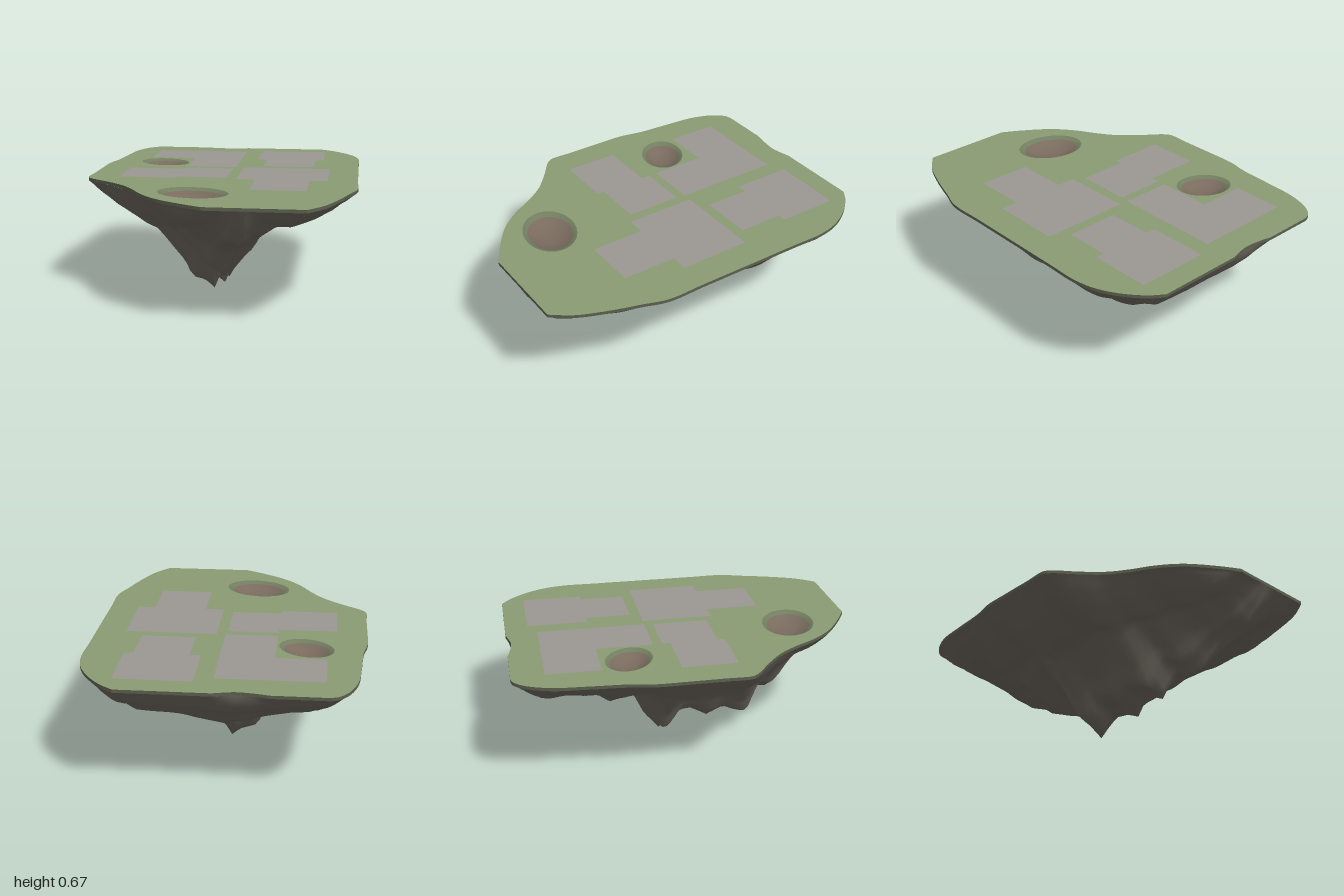
import * as THREE from 'three';

const TOP = 0.668, RIM = 0.018;

// Smooth curve through a few [a, b] points, sampled as a table
const smooth = (points) => new THREE.CatmullRomCurve3(points.map(([a, b]) => new THREE.Vector3(a, b, 0)))
  .getPoints(90).map((p) => [p.x, p.y]);

// Island edge: left and right sides as [z, x], back notch as [x, z]
const LEFT = smooth([[-1, -0.57], [-0.985, -0.61], [-0.93, -0.66], [-0.8, -0.71], [-0.6, -0.73], [-0.4, -0.745], [-0.27, -0.77],
  [-0.1, -0.772], [0.1, -0.772], [0.24, -0.772], [0.28, -0.745], [0.37, -0.63], [0.47, -0.52], [0.58, -0.44], [0.7, -0.37],
  [0.82, -0.27], [0.93, -0.12], [1, 0]]);
const RIGHT = smooth([[-1, 0.52], [-0.94, 0.6], [-0.83, 0.69], [-0.72, 0.745], [-0.6, 0.77], [-0.4, 0.77], [0.2, 0.77], [0.43, 0.77],
  [0.56, 0.73], [0.72, 0.68], [0.89, 0.61], [1, 0.53]]);
const NOTCH = smooth([[-0.27, -1], [-0.2, -0.985], [-0.1, -0.975], [-0.04, -0.985], [0.02, -1]]);

// Lowest rock height across the island [x, y] and along it [z, y]
const ACROSS = [[-0.77, 0.65], [-0.7, 0.57], [-0.6, 0.48], [-0.46, 0.39], [-0.39, 0.37], [-0.2, 0.17], [-0.15, 0.07],
  [-0.05, 0.04], [0, 0], [0.08, 0.08], [0.15, 0.14], [0.2, 0.24], [0.3, 0.29], [0.4, 0.29], [0.44, 0.35],
  [0.54, 0.43], [0.6, 0.5], [0.7, 0.56], [0.77, 0.65]];
const ALONG = [[-1, 0.65], [-0.92, 0.53], [-0.85, 0.48], [-0.77, 0.39], [-0.68, 0.37], [-0.6, 0.31], [-0.52, 0.34],
  [-0.45, 0.25], [-0.36, 0.31], [-0.3, 0.29], [-0.22, 0.12], [-0.125, 0], [-0.03, 0.11], [0.07, 0.1], [0.175, 0.05],
  [0.25, 0.11], [0.33, 0.11], [0.4, 0.08], [0.48, 0.22], [0.56, 0.19], [0.62, 0.23], [0.72, 0.36], [0.8, 0.42],
  [0.87, 0.44], [0.95, 0.55], [1, 0.65]];
const SPINE = [[-1, -0.05], [-0.3, 0], [0.35, 0], [0.8, 0.13], [1, 0.25]];

// Share of the full depth on the shallow ledge at the right front, by x
const LEDGE = [[0, 1], [0.1, 0.68], [0.2, 0.48], [0.32, 0.34], [0.42, 0.34], [0.57, 0.25], [0.7, 0.14], [0.77, 0.03]];

// By z: how broad the rock stays on each side, and how far the right side is a ledge
const BROAD_LEFT = [[-0.5, 0.55], [-0.1, 0.4], [0.3, 0.25]];
const BROAD_RIGHT = [[-0.3, 0.8], [0, 0.2], [0.3, 0.05]];
const LEDGE_BLEND = [[-0.2, 0], [0.1, 1]];

function lookup(table, t) {
  if (t <= table[0][0]) return table[0][1];
  for (let i = 1; i < table.length; i++) {
    const [a, va] = table[i - 1], [b, vb] = table[i];
    if (t <= b) return va + (vb - va) * (t - a) / (b - a);
  }
  return table[table.length - 1][1];
}

const toShape = (points) => new THREE.Shape(points.map(([x, z]) => new THREE.Vector2(x, -z)));

function addMesh(group, name, geometry, color, side = THREE.FrontSide) {
  const mesh = new THREE.Mesh(geometry, new THREE.MeshStandardMaterial({ color, side, roughness: 1 }));
  mesh.name = name;
  group.add(mesh);
  return mesh;
}

// Depth of rock below the rim; s runs -1..1 from left edge over the spine to right edge
function rockDepth(s, z) {
  const r = Math.abs(s), right = s > 0;
  const across = TOP - lookup(ACROSS, 0.77 * s);
  const skew = 0.05 * r * Math.sin(6 * z + 2 * s) * (1 - z * z);
  const along = TOP - lookup(ALONG, z + skew);
  const broad = lookup(right ? BROAD_RIGHT : BROAD_LEFT, z);
  let body = broad * Math.min(across, along) + (1 - broad) * along * across / TOP;
  if (right) {
    const share = lookup(LEDGE, 0.77 * s);
    const ledge = (along * share + Math.min(along, 0.56 * share)) / 2;
    body = THREE.MathUtils.lerp(body, ledge, lookup(LEDGE_BLEND, z));
  }
  const flutes = 0.65 * Math.sin(15 * z + 2 * s) + 0.35 * Math.sin(28 * z - 3 * s + 1);
  return Math.max(RIM, body * (1 - Math.min(1, r * 3) * 0.1 * (0.8 + flutes)));
}

// Fluted rock that hangs from the rim down to a jagged spine
function rockGeometry() {
  const rows = 80, half = 28, cols = half * 2;
  const positions = [], index = [];
  for (let i = 0; i <= rows; i++) {
    const z0 = -1 + 2 * i / rows;
    const xl = lookup(LEFT, z0), xr = lookup(RIGHT, z0);
    const c = lookup(SPINE, z0) + 0.03 * Math.sin(9 * (z0 + 0.125));
    for (let j = 0; j <= cols; j++) {
      const s = (j - half) / half;
      const x = c + Math.abs(s) * ((s < 0 ? xl : xr) - c);
      const edge = i === 0 || i === rows || j === 0 || j === cols;
      positions.push(x, TOP - (edge ? RIM : rockDepth(s, z0)), Math.max(z0, lookup(NOTCH, x)));
    }
  }
  for (let i = 0; i < rows; i++) {
    for (let j = 0; j < cols; j++) {
      const a = i * (cols + 1) + j, d = a + cols + 1;
      index.push(a, a + 1, d, a + 1, d + 1, d);
    }
  }
  const geometry = new THREE.BufferGeometry();
  geometry.setAttribute('position', new THREE.Float32BufferAttribute(positions, 3));
  geometry.setIndex(index);
  geometry.computeVertexNormals();
  return geometry;
}

export function createModel() {
  const island = new THREE.Group();
  island.name = 'floatingIsland';

  addMesh(island, 'rockUnderside', rockGeometry(), 0x67625a);

  // Grass slab with a hole for each pit
  const pits = [
    { x: -0.435, z: -0.36, rx: 0.16, rz: 0.125, turn: -0.5 },
    { x: -0.1, z: 0.63, rx: 0.2, rz: 0.15, turn: -0.3 },
  ];
  const outline = [
    ...NOTCH,
    ...RIGHT.map(([z, x]) => [x, z]),
    ...LEFT.map(([z, x]) => [x, z]).reverse(),
  ];
  const turf = toShape(outline);
  for (const p of pits) {
    const hole = new THREE.Path();
    hole.absellipse(p.x, -p.z, p.rx, p.rz, 0, Math.PI * 2, true, p.turn);
    turf.holes.push(hole);
  }
  const turfGeometry = new THREE.ExtrudeGeometry(turf, { depth: RIM, bevelEnabled: false, curveSegments: 20 });
  turfGeometry.rotateX(-Math.PI / 2).translate(0, TOP - RIM, 0);
  const turfMesh = addMesh(island, 'grassTop', turfGeometry, 0x889a73);
  turfMesh.material = [turfMesh.material, new THREE.MeshStandardMaterial({ color: 0x5a5f4c, roughness: 1 })];

  // Sunken earth pits with a sloping scorched grass border
  const lathe = (profile) => new THREE.LatheGeometry(profile.map(([r, y]) => new THREE.Vector2(r, y)), 40);
  for (const p of pits) {
    const pit = new THREE.Group();
    pit.name = 'pit';
    pit.position.set(p.x, TOP, p.z);
    pit.rotation.y = p.turn;
    pit.scale.set(p.rx, 1, p.rz);
    addMesh(pit, 'pitEarth', lathe([[0, -0.05], [0.3, -0.048], [0.55, -0.038], [0.82, -0.015]]), 0x7a6b5e, THREE.DoubleSide);
    addMesh(pit, 'pitBorder', lathe([[0.82, -0.015], [0.92, -0.004], [1.01, 0]]), 0x717d60, THREE.DoubleSide);
    island.add(pit);
  }

  // Paved plots on the grass
  const plots = [
    [[-0.55, -0.82], [0.03, -0.82], [0.03, -0.2], [-0.27, -0.2], [-0.27, -0.52], [-0.55, -0.52]],
    [[0.13, -0.87], [0.55, -0.87], [0.55, -0.52], [0.5, -0.52], [0.5, -0.26], [0.19, -0.26], [0.19, -0.52], [0.13, -0.52]],
    [[-0.6, -0.1], [-0.27, -0.1], [-0.27, -0.15], [0.02, -0.15], [0.02, 0.17], [-0.27, 0.17], [-0.27, 0.21], [-0.6, 0.21]],
    [[0.08, -0.2], [0.6, -0.2], [0.6, 0.21], [0.5, 0.21], [0.5, 0.52], [0.19, 0.52], [0.19, 0.21], [0.08, 0.21]],
  ];
  for (const plot of plots) {
    const geometry = new THREE.ShapeGeometry(toShape(plot)).rotateX(-Math.PI / 2);
    addMesh(island, 'pavedPlot', geometry, 0x9a9691).position.y = TOP + 0.002;
  }

  return island;
}
